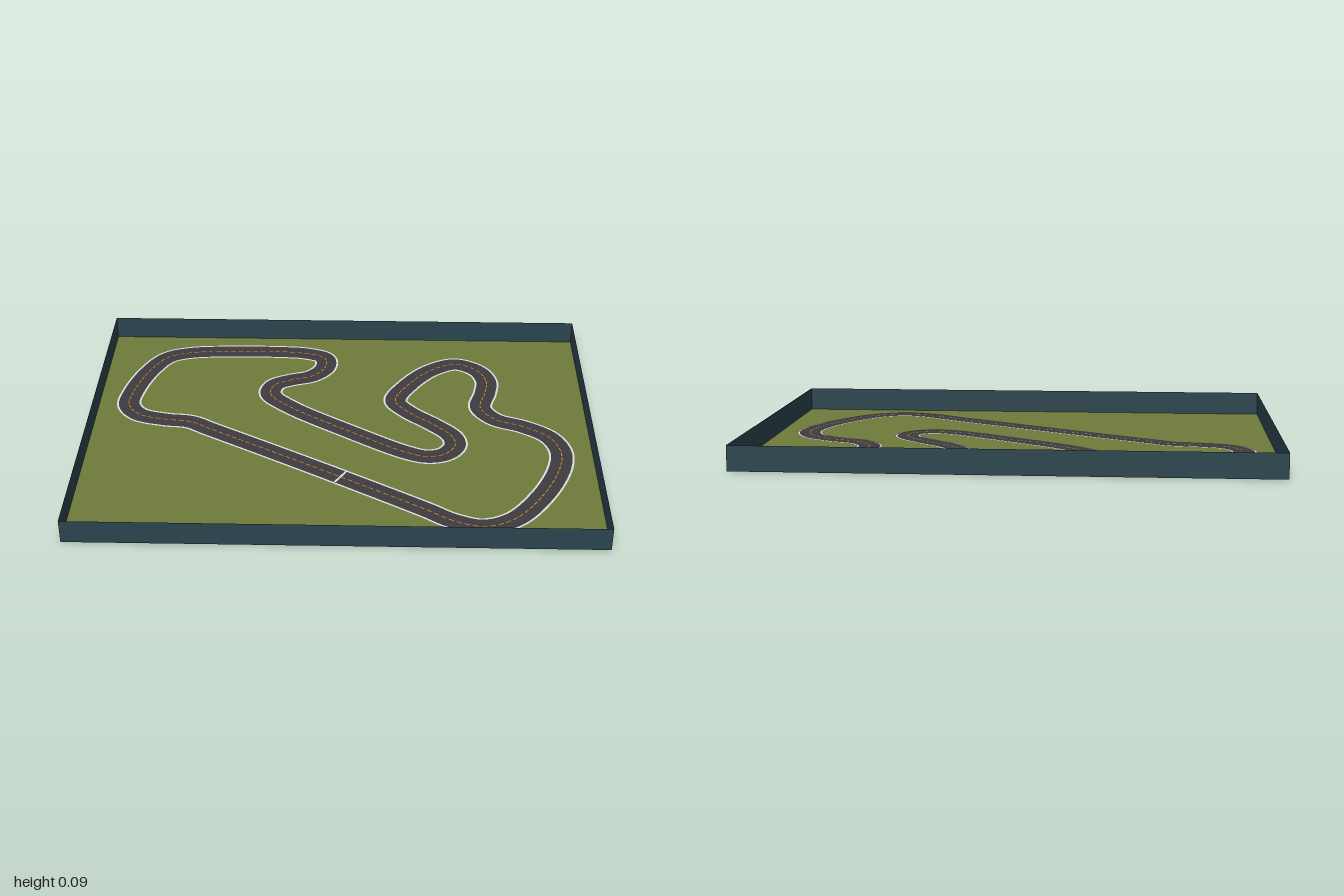
import * as THREE from 'three';

// Centreline of the circuit as x, z pairs in hundredths of a unit
const LINE = [
  1, 31, 34, 51.5, 43, 57.5, 54.5, 61, 66, 56.5, 78.5, 40.5, 86.5, 22, 87.5, 11, 83.5, 1.5,
  74, -5.5, 63, -10.5, 57.5, -19, 60, -30.5, 61, -39.5, 57.5, -48, 48.5, -53, 38, -48,
  28, -36, 22.5, -23.5, 27.5, -15.5, 38, -6, 45, 2, 46, 8.5, 42, 14.5, 35, 16.5, 27, 14,
  3, -1, -21, -18, -29.5, -27.5, -28, -35, -21, -39, -13, -42, -7.5, -49, -8, -57,
  -15.5, -60.5, -23.5, -61.5, -50, -61.5, -66, -60, -75.5, -56, -82.5, -44, -87, -28,
  -87.5, -18, -82.5, -11, -71.5, -7.5, -61, -6, -52.5, -1, -25.5, 15,
];
const HALF_X = 1, HALF_Z = 0.735, WALL = 0.095;
const STEPS = 600;

const mat = (name, color, side = THREE.FrontSide) => {
  const m = new THREE.MeshStandardMaterial({ color, side });
  m.name = name;
  return m;
};

// Flat strip following the curve between two sideways offsets; keep(i) selects segments
function ribbon(curve, from, to, y, keep = () => true) {
  const pos = [], normal = [], index = [];
  for (let i = 0; i <= STEPS; i++) {
    const p = curve.getPointAt((i % STEPS) / STEPS);
    const t = curve.getTangentAt((i % STEPS) / STEPS);
    for (const o of [from, to]) {
      pos.push(p.x - t.z * o, y, p.z + t.x * o);
      normal.push(0, 1, 0);
    }
    if (i < STEPS && keep(i)) {
      const a = i * 2;
      index.push(a, a + 1, a + 2, a + 1, a + 3, a + 2);
    }
  }
  const g = new THREE.BufferGeometry();
  g.setAttribute('position', new THREE.Float32BufferAttribute(pos, 3));
  g.setAttribute('normal', new THREE.Float32BufferAttribute(normal, 3));
  g.setIndex(index);
  return g;
}

export function createModel() {
  const model = new THREE.Group();
  model.name = 'raceTrackTray';
  const grass = mat('grass green', 0x6f7a3a, THREE.DoubleSide);
  const wall = mat('slate blue', 0x2b444e, THREE.DoubleSide);
  const asphalt = mat('asphalt grey', 0x3d3b3f, THREE.DoubleSide);
  const white = mat('line white', 0xdcdcdc, THREE.DoubleSide);
  const orange = mat('centre orange', 0xd88a10, THREE.DoubleSide);

  const add = (name, geometry, material) => {
    const m = new THREE.Mesh(geometry, material);
    m.name = name;
    model.add(m);
    return m;
  };

  // Grass floor
  add('floor', new THREE.PlaneGeometry(HALF_X * 2, HALF_Z * 2).rotateX(-Math.PI / 2), grass);

  // Thin walls around the floor
  for (const s of [1, -1]) {
    const turn = s > 0 ? 0 : Math.PI;
    add(s > 0 ? 'frontWall' : 'backWall',
      new THREE.PlaneGeometry(HALF_X * 2, WALL).translate(0, WALL / 2, HALF_Z).rotateY(turn), wall);
    add(s > 0 ? 'leftWall' : 'rightWall',
      new THREE.PlaneGeometry(HALF_Z * 2, WALL).translate(0, WALL / 2, HALF_X).rotateY(turn + Math.PI / 2), wall);
  }

  // Road, edge lines and dashed centre line
  const points = [];
  for (let i = 0; i < LINE.length; i += 2) points.push(new THREE.Vector3(LINE[i] / 100, 0, LINE[i + 1] / 100));
  const curve = new THREE.CatmullRomCurve3(points, true, 'centripetal');
  curve.arcLengthDivisions = 2000;
  add('road', ribbon(curve, 0.042, -0.042, 0.002), asphalt);
  add('edgeLineInner', ribbon(curve, 0.05, 0.042, 0.002), white);
  add('edgeLineOuter', ribbon(curve, -0.042, -0.05, 0.002), white);
  add('centreDashes', ribbon(curve, 0.002, -0.002, 0.003, (i) => i % 3 < 2), orange);

  // Start line across the long straight
  const start = curve.getPointAt(0), dir = curve.getTangentAt(0);
  const line = add('startLine', new THREE.PlaneGeometry(0.009, 0.084).rotateX(-Math.PI / 2), white);
  line.position.set(start.x, 0.004, start.z);
  line.rotation.y = Math.atan2(-dir.z, dir.x);
  return model;
}
